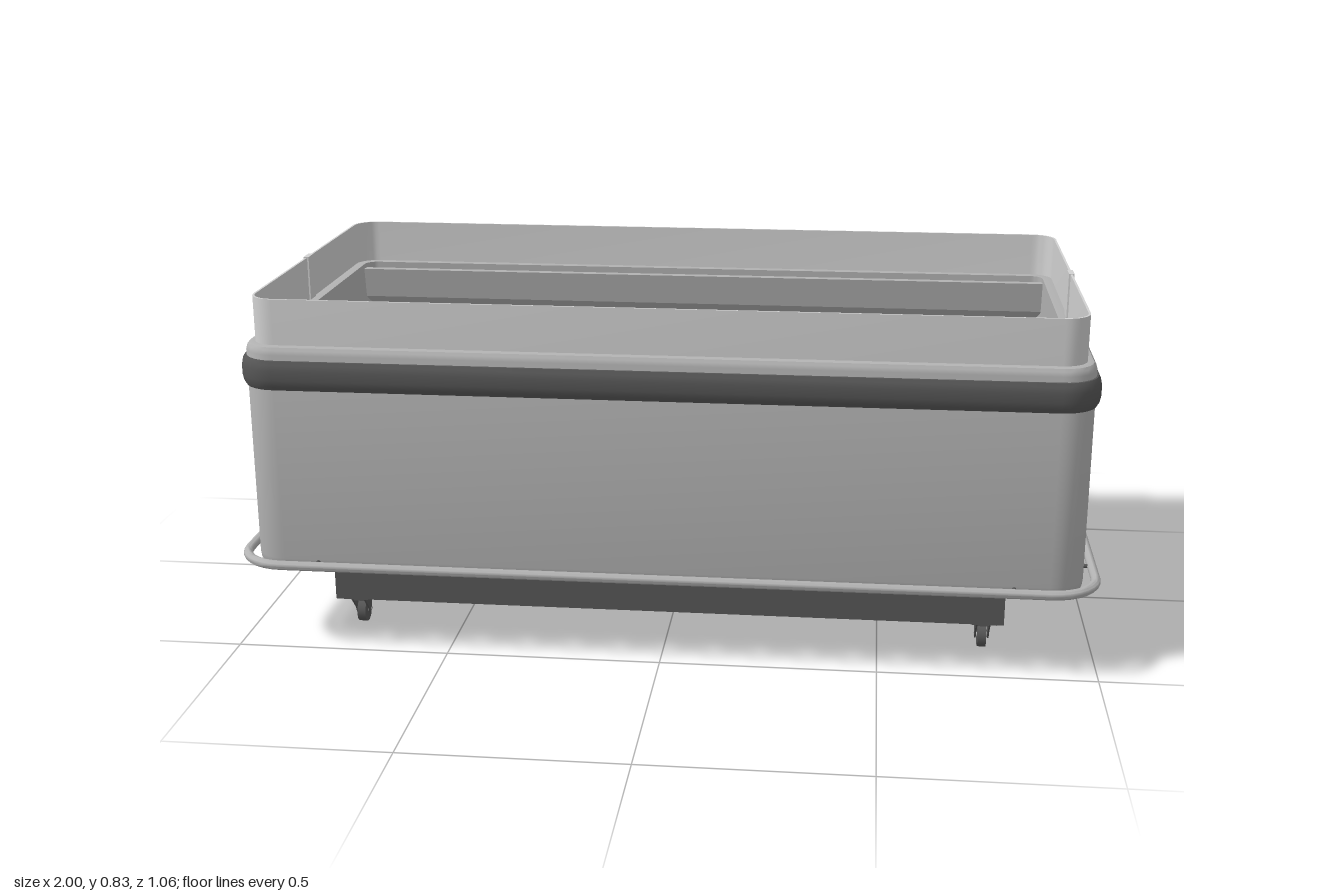
import * as THREE from 'three';
import { toCreasedNormals } from 'three/addons/utils/BufferGeometryUtils.js';

const HX = 0.96, HZ = 0.49, R = 0.08;

// Sweeps a profile of [offset, y] points around the rounded rectangular plan.
function sweep(profile, { closed = false, caps = false } = {}) {
  const ring = [];
  for (let q = 0; q < 4; q++) {
    const sx = q === 0 || q === 3 ? 1 : -1, sz = q < 2 ? 1 : -1;
    for (let k = 0; k <= 8; k++) {
      const a = (q + k / 8) * Math.PI / 2;
      ring.push([sx * (HX - R), sz * (HZ - R), Math.cos(a), Math.sin(a)]);
    }
  }
  const n = ring.length, m = profile.length, pos = [], idx = [];
  for (const [off, y] of profile)
    for (const [cx, cz, dx, dz] of ring) pos.push(cx + dx * (R + off), y, cz + dz * (R + off));
  const at = (i, j) => (i % m) * n + (j % n);
  for (let i = 0; i < (closed ? m : m - 1); i++)
    for (let j = 0; j < n; j++)
      idx.push(at(i, j), at(i + 1, j), at(i, j + 1), at(i + 1, j), at(i + 1, j + 1), at(i, j + 1));
  if (caps) {
    pos.push(0, profile[0][1], 0, 0, profile[m - 1][1], 0);
    for (let j = 0; j < n; j++)
      idx.push(m * n, at(0, j), at(0, j + 1), m * n + 1, at(m - 1, j + 1), at(m - 1, j));
  }
  const g = new THREE.BufferGeometry();
  g.setAttribute('position', new THREE.Float32BufferAttribute(pos, 3));
  g.setIndex(idx);
  return toCreasedNormals(g, 0.6);
}

export function createModel() {
  const model = new THREE.Group();
  model.name = 'displayCabinet';
  const material = (name, color) => Object.assign(new THREE.MeshStandardMaterial({ color }), { name });
  const bodyGrey = material('bodyGrey', 0xb2b2b2);
  const paleGrey = material('paleGrey', 0xd2d2d2);
  const darkGrey = material('darkGrey', 0x575757);

  const add = (name, geometry, mat, x = 0, y = 0, z = 0, parent = model) => {
    const mesh = new THREE.Mesh(geometry, mat);
    mesh.name = name;
    mesh.position.set(x, y, z);
    parent.add(mesh);
    return mesh;
  };
  const box = (w, h, d) => new THREE.BoxGeometry(w, h, d);

  // Tub: rounded outer shell, rim, inner walls and floor
  add('tub', sweep([
    [-0.04, 0.18], [-0.022, 0.184], [-0.009, 0.193], [-0.002, 0.206], [0, 0.222],
    [0, 0.712], [-0.003, 0.722], [-0.008, 0.728], [-0.016, 0.73],
    [-0.05, 0.73], [-0.05, 0.47],
  ], { caps: true }), bodyGrey);

  // Bulging bumper band
  add('bumperBand', sweep([
    [-0.005, 0.63], [0.004, 0.631], [0.009, 0.64], [0.012, 0.655], [0.012, 0.677],
    [0.009, 0.691], [0.004, 0.699], [-0.005, 0.7],
  ], { closed: true }), darkGrey);

  // Clear-panel wall above the rim, with a joint strip at each end
  add('upperPanel', sweep([
    [-0.022, 0.725], [-0.022, 0.836], [-0.027, 0.836], [-0.027, 0.725],
  ], { closed: true }), paleGrey);
  for (const s of [-1, 1])
    add('panelJoint', box(0.013, 0.108, 0.042), paleGrey, s * 0.9355, 0.784, 0);

  // Bumper rail around the foot, carried on short pegs
  const circle = [];
  for (let k = 0; k < 12; k++) {
    const a = k / 12 * Math.PI * 2;
    circle.push([0.029 + 0.011 * Math.cos(a), 0.216 + 0.011 * Math.sin(a)]);
  }
  add('footRail', sweep(circle, { closed: true }), bodyGrey);
  const peg = new THREE.CylinderGeometry(0.005, 0.005, 0.04, 10);
  for (const s of [-1, 1])
    for (const t of [-1, 1]) {
      add('railPeg', peg, darkGrey, s * 0.8, 0.216, t * 0.505).rotation.x = Math.PI / 2;
      add('railPeg', peg, darkGrey, s * 0.975, 0.216, t * 0.33).rotation.z = Math.PI / 2;
    }

  // Air ducts along the long inner walls: tilted face, flat top, sloping back
  const duct = new THREE.Shape([
    [0.442, 0.61], [0.442, 0.68], [0.422, 0.718], [0.4, 0.718], [0.412, 0.64],
  ].map(p => new THREE.Vector2(...p)));
  const ductGeometry = new THREE.ExtrudeGeometry(duct, { depth: 1.82, bevelEnabled: false });
  ductGeometry.translate(0, 0, -0.91);
  for (const s of [-1, 1])
    add('airDuct', ductGeometry, bodyGrey).rotation.y = s * Math.PI / 2;

  // Plinth
  add('plinth', box(1.58, 0.1, 0.804), darkGrey, 0, 0.139, 0);

  // Casters: mounting plate, two swept fork arms, wheel and axle
  const arm = new THREE.Shape([
    [0.03, 0.086], [-0.035, 0.086], [-0.035, 0.03], [-0.02, 0.026], [-0.012, 0.042],
  ].map(p => new THREE.Vector2(-p[0], p[1])));
  const armGeometry = new THREE.ExtrudeGeometry(arm, { depth: 0.004, bevelEnabled: false });
  armGeometry.rotateY(Math.PI / 2);
  const wheelGeometry = new THREE.CylinderGeometry(0.029, 0.029, 0.02, 24).rotateZ(Math.PI / 2);
  const axleGeometry = new THREE.CylinderGeometry(0.006, 0.006, 0.034, 10).rotateZ(Math.PI / 2);
  for (const x of [-0.745, 0.745])
    for (const z of [-0.35, 0.353]) {
      const caster = new THREE.Group();
      caster.name = 'caster';
      caster.position.set(x, 0, z);
      model.add(caster);
      add('casterPlate', box(0.06, 0.006, 0.08), darkGrey, 0, 0.087, 0, caster);
      add('forkArm', armGeometry, darkGrey, -0.017, 0, 0, caster);
      add('forkArm', armGeometry, darkGrey, 0.013, 0, 0, caster);
      add('forkCrown', box(0.03, 0.016, 0.04), darkGrey, 0, 0.077, -0.008, caster);
      add('wheel', wheelGeometry, darkGrey, 0, 0.032, -0.028, caster);
      add('axle', axleGeometry, bodyGrey, 0, 0.032, -0.028, caster);
    }

  return model;
}
